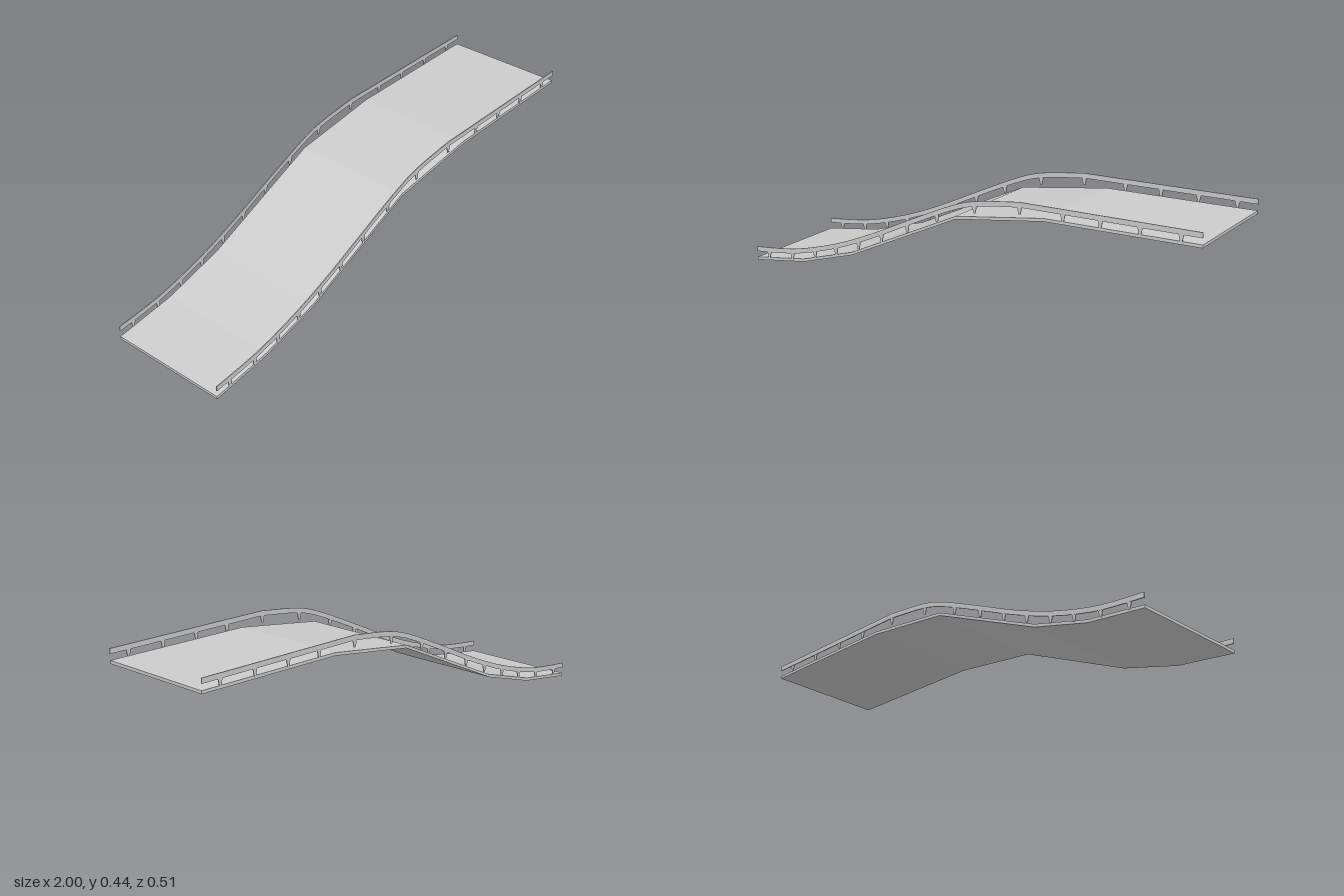
import * as THREE from 'three';

const material = new THREE.MeshStandardMaterial({ color: 0xcccccc, flatShading: true, side: THREE.DoubleSide });
const HALF_WIDTH = 0.2475;

// Top edges of the deck and of the rails, seen from the front
const deckTop = [[-1, 0.012], [-0.75, 0.046], [-0.5, 0.118], [0, 0.346], [0.38, 0.397], [1, 0.4]];
const railKeys = [[-1, 0.058], [-0.88, 0.07], [-0.77, 0.087], [-0.58, 0.14], [-0.4, 0.211], [-0.2, 0.304],
  [0, 0.392], [0.09, 0.418], [0.28, 0.443]];
const postX = [-0.935, -0.81, -0.69, -0.58, -0.465, -0.35, -0.225, -0.085, 0.085, 0.28, 0.46, 0.61, 0.765, 0.92];
// Slight sideways drift of the ramp along its length
const drift = [[-1, -0.0085], [-0.75, -0.007], [-0.5, -0.004], [0, 0.0035], [0.38, 0.006], [1, 0.006]];

function sample(table, x) {
  let i = 1;
  while (i < table.length - 1 && x > table[i][0]) i++;
  const [a, b] = [table[i - 1], table[i]];
  return THREE.MathUtils.mapLinear(x, a[0], b[0], a[1], b[1]);
}

// Extrude an outline across z, then follow the sideways drift
function slab(name, outline, z, depth) {
  const shape = new THREE.Shape(outline.map(([x, y]) => new THREE.Vector2(x, y)));
  const geometry = new THREE.ExtrudeGeometry(shape, { depth, bevelEnabled: false });
  geometry.translate(0, 0, z - depth / 2);
  const p = geometry.attributes.position;
  for (let i = 0; i < p.count; i++) p.setZ(i, p.getZ(i) + sample(drift, p.getX(i)));
  geometry.computeVertexNormals();
  const mesh = new THREE.Mesh(geometry, material);
  mesh.name = name;
  return mesh;
}

// Closed ribbon below a line
const ribbon = (top, height) => [...top.map(([x, y]) => [x, y - height]), ...[...top].reverse()];

export function createModel() {
  const group = new THREE.Group();
  group.name = 'ramp';
  group.add(slab('deck', ribbon(deckTop, 0.012), 0, HALF_WIDTH * 2));

  const curve = new THREE.CatmullRomCurve3(railKeys.map(([x, y]) => new THREE.Vector3(x, y, 0)));
  const railTop = [...curve.getPoints(24).map((v) => [v.x, v.y]), [1, 0.444]];

  for (const [side, z] of [['left', HALF_WIDTH], ['right', -HALF_WIDTH]]) {
    const railing = new THREE.Group();
    railing.name = side === 'left' ? 'frontRailing' : 'backRailing';
    railing.add(slab('rail', ribbon(railTop, 0.02), z, 0.004));
    // Tapered posts hanging from the rail to the deck edge
    for (const x of postX) {
      const top = (dx) => [x + dx, sample(railTop, x + dx) - 0.018];
      const foot = sample(railTop, x) - 0.047;
      railing.add(slab('post', [[x - 0.004, foot], [x + 0.004, foot], top(0.01), top(-0.01)], z, 0.003));
    }
    group.add(railing);
  }
  return group;
}
